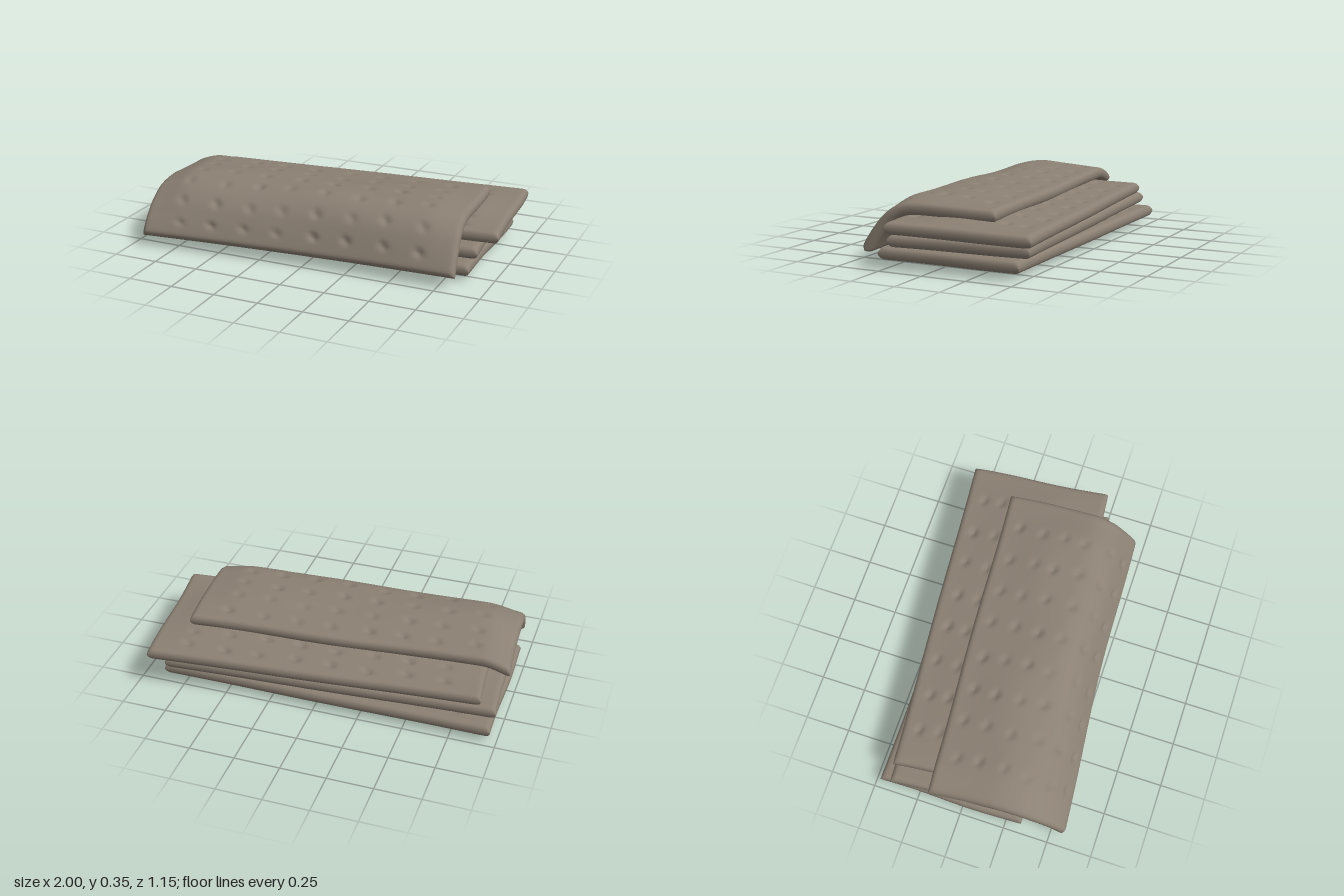
import * as THREE from 'three';

const R = 0.033; // radius of the rolled rim, half of the edge thickness

function seeded(seed) {
  return () => (seed = (seed * 16807) % 2147483647) / 2147483647;
}

// Sample positions across a length: dense along both rims, even between them
function samples(length, inner) {
  const rim = [0, 1, 2, 3, 4].map(k => R * (1 - Math.cos(k * Math.PI / 8)));
  const list = [...rim];
  for (let i = 1; i < inner; i++) list.push(R + (length - 2 * R) * i / inner);
  return [...list, ...rim.map(r => length - r).reverse()];
}

// Blunt rounded rise from the edge
const rimRise = d => Math.max(0, 1 - Math.max(0, 1 - d / R) ** 2.4) ** (1 / 2.4);
const smooth = (d, w) => THREE.MathUtils.smoothstep(d, 0, w);

// Padded mat with rolled edges and rows of tufted dimples on both faces.
// place(x, v, n) maps width, depth (from the back) and thickness to a point.
function matGeometry(width, depth, seed, place) {
  const rand = seeded(seed);
  const phase = rand() * 6;
  const xs = samples(width, 100), vs = samples(depth, 50);
  const nx = xs.length, nv = vs.length;

  const dimples = [1, -1].map(() => {
    const list = [];
    for (let c = 0; c < 8; c++) for (let r = 0; r < 6; r++) {
      list.push([
        width * (0.115 + 0.11 * c) + (rand() - 0.5) * 0.025,
        depth * (0.12 + 0.152 * r) + (rand() - 0.5) * 0.025,
        0.013 + rand() * 0.009]);
    }
    return list;
  });

  const height = (x, v, side) => {
    const dx = Math.min(x, width - x), dv = Math.min(v, depth - v);
    const inside = smooth(dx, 0.22) * smooth(dv, 0.36);
    let h = R * rimRise(dx) * rimRise(dv) + 0.023 * inside;
    h += 0.004 * inside * Math.sin(x * 8 + phase + side) * Math.cos(v * 13 + phase);
    for (const [cx, cv, amount] of dimples[side]) {
      const q = ((x - cx) ** 2 + ((v - cv) * 1.25) ** 2) / 0.0005;
      if (q < 9) h -= amount * Math.exp(-q);
    }
    return h;
  };

  const positions = [], ids = [[], []], index = [];
  for (let side = 0; side < 2; side++) {
    for (let i = 0; i < nx; i++) for (let j = 0; j < nv; j++) {
      const border = i === 0 || j === 0 || i === nx - 1 || j === nv - 1;
      if (side && border) { ids[1].push(ids[0][i * nv + j]); continue; }
      ids[side].push(positions.length / 3);
      const n = border ? 0 : height(xs[i], vs[j], side) * (side ? -1 : 1);
      // gently uneven outline
      const x = xs[i] - width / 2 + 0.004 * Math.sin(vs[j] * 9 + phase);
      const p = place(x, vs[j], n, 0.004 * Math.sin(xs[i] * 5 + phase));
      positions.push(p.x, p.y, p.z);
    }
    for (let i = 0; i < nx - 1; i++) for (let j = 0; j < nv - 1; j++) {
      const at = (k, l) => ids[side][k * nv + l];
      const a = at(i, j), b = at(i, j + 1), c = at(i + 1, j + 1), d = at(i + 1, j);
      if (side) index.push(a, c, b, a, d, c);
      else index.push(a, b, c, a, c, d);
    }
  }
  const geometry = new THREE.BufferGeometry();
  geometry.setAttribute('position', new THREE.Float32BufferAttribute(positions, 3));
  geometry.setIndex(index);
  geometry.computeVertexNormals();
  return geometry;
}

export function createModel() {
  const group = new THREE.Group();
  group.name = 'stackedMats';
  const fabric = new THREE.MeshStandardMaterial({ color: 0x8b8073 });
  fabric.name = 'taupeFabric';

  // Flat mats: name, width, depth, centre, turn and forward tilt
  const flatMats = [
    ['bottomMat', 1.84, 0.81, [-0.045, 0.063, -0.07], 0.003, 0],
    ['middleMat', 1.83, 0.79, [-0.04, 0.138, -0.07], 0.065, 0],
    ['upperMat', 1.83, 0.795, [0.05, 0.216, -0.095], 0.087, -0.022],
  ];
  flatMats.forEach(([name, width, depth, centre, turn, tilt], k) => {
    const place = (x, v, n, wave) => new THREE.Vector3(x, n, v - depth / 2 + wave * 0.5);
    const mat = new THREE.Mesh(matGeometry(width, depth, 101 + k * 57, place), fabric);
    mat.name = name;
    mat.position.set(...centre);
    mat.rotation.set(tilt, turn, 0, 'YXZ');
    group.add(mat);
  });

  // Top mat follows a side profile that folds down over the front
  const profile = new THREE.SplineCurve([
    [-0.365, 0.287], [-0.15, 0.294], [0.06, 0.298], [0.16, 0.288],
    [0.24, 0.243], [0.3, 0.175], [0.345, 0.11], [0.375, 0.06],
  ].map(p => new THREE.Vector2(...p)));
  const length = profile.getLength();
  const drape = (x, v, n, wave) => {
    const u = Math.min(1, v / length);
    const p = profile.getPointAt(u), t = profile.getTangentAt(u);
    // left end sags where nothing supports it, and its fold slopes more gently
    const corner = 0.045 * Math.max(0, (-0.74 - x) / 0.15) ** 1.5 * (1 - smooth(v, length));
    const slope = 0.035 * smooth(0.3 - x, 1.1) * Math.sin(Math.PI * smooth(u - 0.4, 0.6));
    // the hanging edge is drawn in along its middle
    const drawnIn = 0.02 * u ** 4 * Math.max(0, Math.cos(x * 1.7));
    return new THREE.Vector3(
      x, p.y + n * t.x - corner - slope + wave * 0.5, p.x - n * t.y - drawnIn + wave);
  };
  const top = new THREE.Mesh(matGeometry(1.785, length, 733, drape), fabric);
  top.name = 'drapedTopMat';
  top.position.set(-0.08, 0, 0.125);
  top.rotation.y = 0.073;
  group.add(top);

  return group;
}
